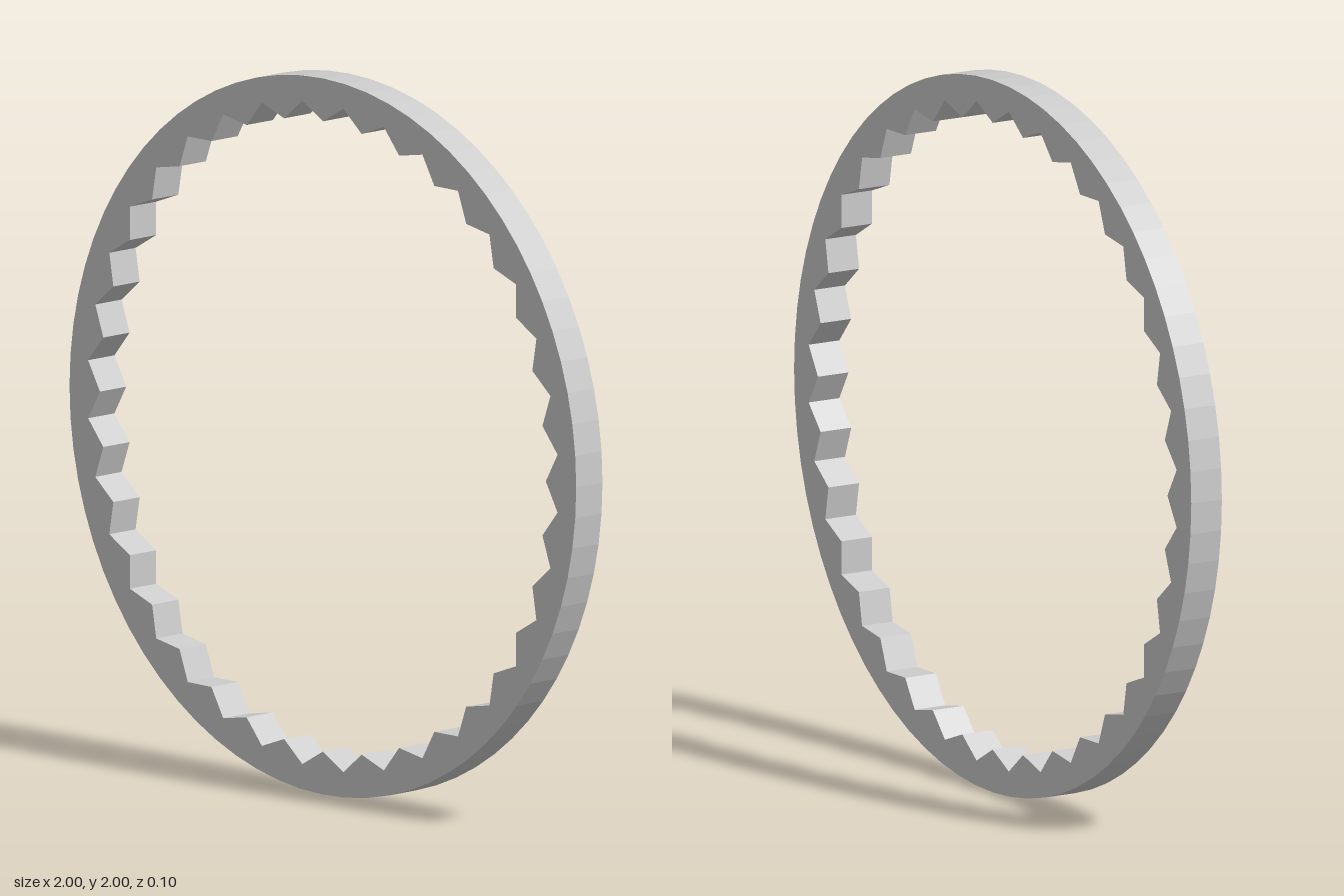
import * as THREE from 'three';

const TEETH = 36;
const OUTER_RADIUS = 1;
const ROOT_RADIUS = 0.93;
const TIP_RADIUS = 0.88;
const WIDTH = 0.1;

// Closed outline with the radius chosen per step around the circle
function outline(steps, radiusAt) {
  return Array.from({ length: steps }, (_, i) => {
    const a = (i / steps) * Math.PI * 2;
    const r = radiusAt(i);
    return new THREE.Vector2(r * Math.cos(a), r * Math.sin(a));
  });
}

export function createModel() {
  const group = new THREE.Group();
  group.name = 'internalGearRing';

  // Round rim with a hole edged by pointed inward teeth
  const shape = new THREE.Shape(outline(TEETH * 2, () => OUTER_RADIUS));
  shape.holes.push(new THREE.Path(outline(TEETH * 2, (i) => (i % 2 ? ROOT_RADIUS : TIP_RADIUS))));

  const geometry = new THREE.ExtrudeGeometry(shape, { depth: WIDTH, bevelEnabled: false });
  geometry.translate(0, OUTER_RADIUS, -WIDTH / 2);

  const ring = new THREE.Mesh(
    geometry,
    new THREE.MeshStandardMaterial({ color: 0xcccccc, flatShading: true })
  );
  ring.name = 'toothedRing';
  group.add(ring);
  return group;
}
